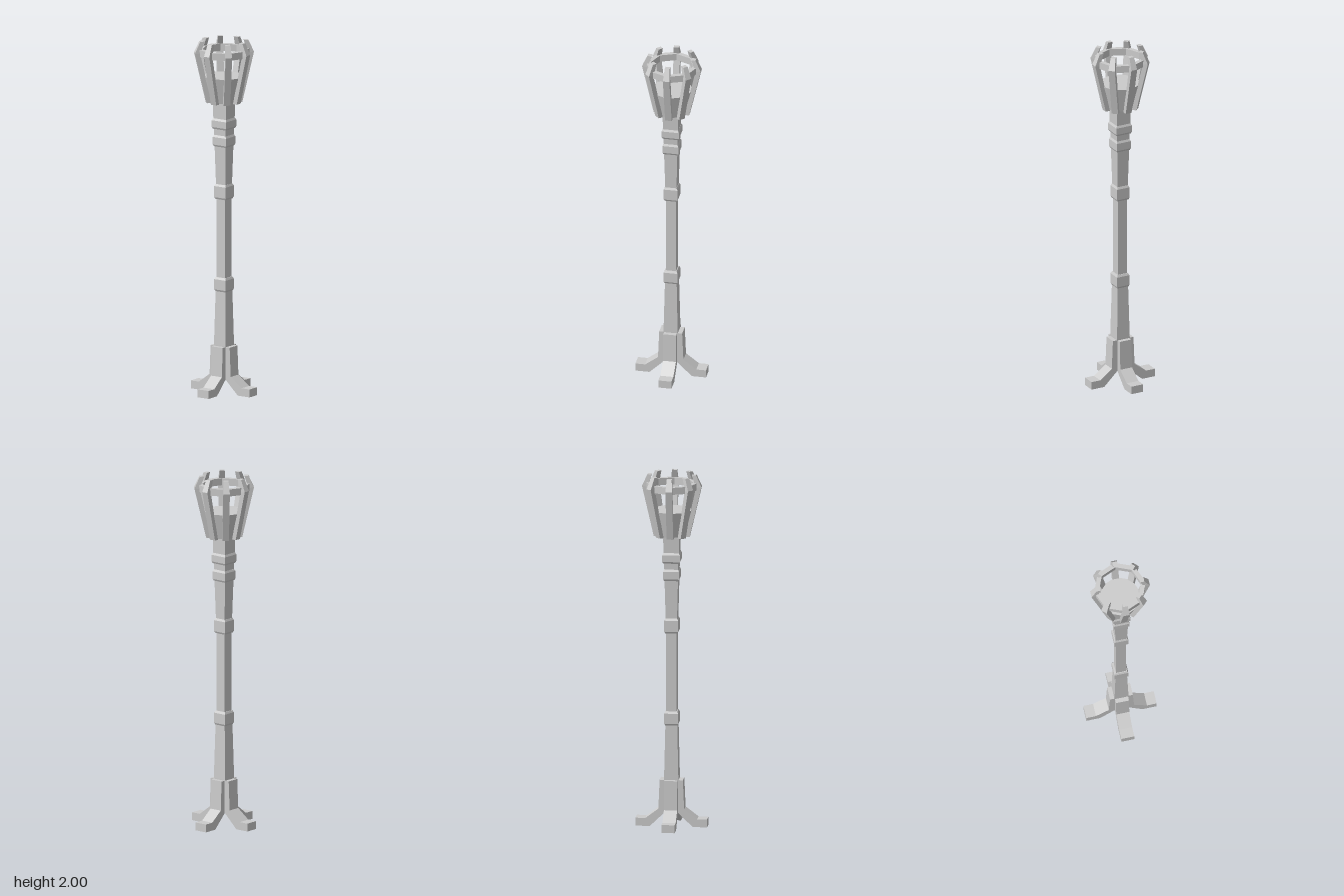
import * as THREE from 'three';

const grey = new THREE.MeshStandardMaterial({ color: 0xcccccc, flatShading: true });

function addMesh(parent, name, geometry, angle = 0) {
  const flat = geometry.index ? geometry.toNonIndexed() : geometry;
  flat.computeVertexNormals();
  const mesh = new THREE.Mesh(flat, grey);
  mesh.name = name;
  mesh.rotation.y = angle;
  parent.add(mesh);
  return mesh;
}

// Square post section: [halfWidth, y] pairs from bottom to top, capped at both ends
function squarePost(profile) {
  const pts = profile.map(([w, y]) => new THREE.Vector2(w * Math.SQRT2, y));
  pts.unshift(new THREE.Vector2(0, profile[0][1]));
  pts.push(new THREE.Vector2(0, profile[profile.length - 1][1]));
  return new THREE.LatheGeometry(pts, 4, Math.PI / 4);
}

// Eight-sided turned part from [radius, y] pairs
function octagon(profile) {
  return new THREE.LatheGeometry(profile.map(([r, y]) => new THREE.Vector2(r, y)), 8);
}

// Flat side profile in (radius, y), given thickness around the radial plane
function radialSlab(profile, width) {
  const shape = new THREE.Shape(profile.map(([r, y]) => new THREE.Vector2(r, y)));
  const geometry = new THREE.ExtrudeGeometry(shape, { depth: width, bevelEnabled: false });
  return geometry.translate(0, 0, -width / 2);
}

export function createModel() {
  const model = new THREE.Group();
  model.name = 'standingTorch';

  // Post in tapering sections
  const post = new THREE.Group();
  post.name = 'post';
  model.add(post);
  addMesh(post, 'lowerShaft', squarePost([[0.04, 0.08], [0.04, 0.27], [0.033, 0.59]]));
  addMesh(post, 'middleShaft', squarePost([[0.029, 0.6], [0.029, 1.15]]));
  addMesh(post, 'upperShaft', squarePost([[0.031, 1.15], [0.038, 1.42]]));
  addMesh(post, 'neck', squarePost([[0.038, 1.42], [0.04, 1.53]]));
  addMesh(post, 'head', squarePost([[0.042, 1.53], [0.045, 1.67]]));

  // Chamfered collars around the post
  const collars = [
    [0.575, 0.655, 0.039], [1.1, 1.185, 0.039],
    [1.4, 1.465, 0.045], [1.5, 1.56, 0.049],
  ];
  for (const [y0, y1, w] of collars) {
    addMesh(post, 'collar', squarePost([
      [w - 0.005, y0], [w, y0 + 0.01], [w, y1 - 0.012], [w - 0.006, y1],
    ]));
  }

  // Four bent feet
  const footProfile = [
    [0.2, 0], [0.2, 0.045], [0.145, 0.045], [0.072, 0.1],
    [0.065, 0.265], [0.034, 0.265], [0.037, 0.08], [0.12, 0],
  ];
  for (let i = 0; i < 4; i++) {
    addMesh(model, 'foot', radialSlab(footProfile, 0.074), i * Math.PI / 2);
  }

  // Basket: solid cup, ring and eight bent slats
  const basket = new THREE.Group();
  basket.name = 'basket';
  model.add(basket);
  addMesh(basket, 'cup', octagon([[0, 1.655], [0.08, 1.655], [0.118, 1.8], [0, 1.8]]));
  addMesh(basket, 'ring', octagon([
    [0.12, 1.915], [0.147, 1.915], [0.147, 1.955], [0.12, 1.955], [0.12, 1.915],
  ]));

  const slatProfile = [
    [0.1, 1.65], [0.166, 1.935], [0.136, 2],
    [0.112, 2], [0.136, 1.93], [0.074, 1.65],
  ];
  for (let i = 0; i < 8; i++) {
    const slat = radialSlab(slatProfile, 0.037);
    const p = slat.attributes.position;
    // Narrow the tips
    for (let v = 0; v < p.count; v++) {
      if (p.getY(v) > 1.98) p.setZ(v, p.getZ(v) * 0.75);
    }
    addMesh(basket, 'slat', slat, i * Math.PI / 4);
  }

  return model;
}
